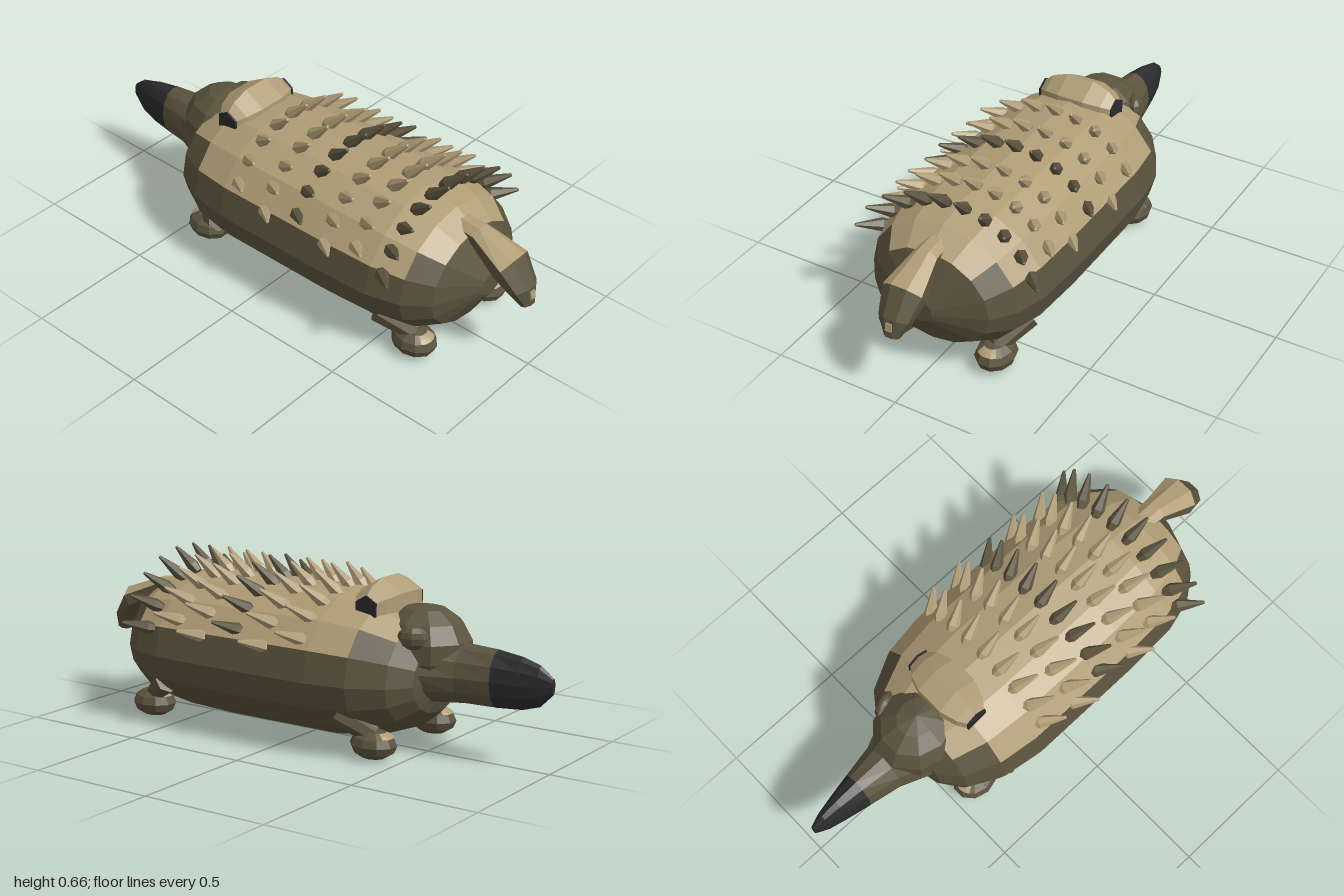
import * as THREE from 'three';

const mat = (name, color) => {
  const m = new THREE.MeshStandardMaterial({ color, flatShading: true });
  m.name = name;
  return m;
};

export function createModel() {
  const model = new THREE.Group();
  const tan = mat('tan', 0xb09d76);
  const olive = mat('olive brown', 0x5b533d);
  const dark = mat('charcoal', 0x2b2b2d);
  const mats = [olive, tan, dark];
  const CX = -0.01;

  const add = (name, geo, material, parent = model) => {
    const mesh = new THREE.Mesh(geo, material);
    mesh.name = name;
    parent.add(mesh);
    return mesh;
  };

  // Skin over closed rings; pick(i, j) gives the colour index of each facet
  const loft = (rings, pick) => {
    const faces = [[], [], []];
    const n = rings[0].length;
    const tri = (k, ...p) => p.forEach((v) => faces[k].push(v.x, v.y, v.z));
    const mid = (r) => r.reduce((s, v) => s.add(v), new THREE.Vector3()).divideScalar(n);
    const last = rings.length - 1;
    const c0 = mid(rings[0]), c1 = mid(rings[last]);
    for (let j = 0; j < n; j++) {
      const k = (j + 1) % n;
      tri(pick(0, j), c0, rings[0][k], rings[0][j]);
      tri(pick(last - 1, j), c1, rings[last][j], rings[last][k]);
      for (let i = 0; i < last; i++) {
        const [a, b, c, d] = [rings[i][j], rings[i][k], rings[i + 1][k], rings[i + 1][j]];
        tri(pick(i, j), a, b, c);
        tri(pick(i, j), a, c, d);
      }
    }
    const geo = new THREE.BufferGeometry();
    let start = 0;
    faces.forEach((f, k) => {
      if (f.length) geo.addGroup(start, f.length / 3, k);
      start += f.length / 3;
    });
    geo.setAttribute('position', new THREE.Float32BufferAttribute(faces.flat(), 3));
    geo.computeVertexNormals();
    return geo;
  };

  // Elliptical ring, tilted about x, with separate upper and lower heights
  const ring = (n, y, z, rx, up, down = up, tilt = 0, shift = 0) =>
    Array.from({ length: n }, (_, j) => {
      const a = ((j + shift) / n) * Math.PI * 2;
      const s = Math.sin(a);
      const h = s * (s > 0 ? up : down);
      return new THREE.Vector3(CX + rx * Math.cos(a), y + h * Math.cos(tilt), z + h * Math.sin(tilt));
    });

  // Barrel body: z and scale per ring, tan over the back
  const stations = [[-0.56, 0.2], [-0.535, 0.5], [-0.47, 0.74], [-0.34, 0.93], [-0.18, 1], [0.06, 1],
    [0.3, 1], [0.52, 0.97], [0.65, 0.87], [0.74, 0.68], [0.82, 0.16]];
  const bodyRings = stations.map(([z, s]) => ring(16, 0.28, z, 0.353 * s, 0.3 * s, 0.255 * s));
  add('body', loft(bodyRings, (i, j) => {
    if (i >= 3 && i <= 7) return j >= 1 && j <= 6 ? 1 : 0;
    if (i === 2 || i === 8) return j >= 2 && j <= 5 ? 1 : 0;
    return 0;
  }), mats);

  // Head dome
  const head = add('head', new THREE.SphereGeometry(1, 10, 7), olive);
  head.scale.set(0.165, 0.16, 0.19);
  head.position.set(CX, 0.39, -0.47);

  // Snout with dark tip
  const snout = [[-1, 0.315, 0.012, 0.03], [-0.95, 0.31, 0.03, 0.075], [-0.88, 0.31, 0.046, 0.096],
    [-0.78, 0.313, 0.068, 0.107], [-0.65, 0.315, 0.096, 0.112], [-0.5, 0.32, 0.165, 0.13]];
  add('snout', loft(snout.map(([z, y, rx, ry]) => ring(12, y, z, rx, ry)), (i) => (i < 3 ? 2 : 0)), mats);

  // Ear on the left side only
  const ear = add('ear', new THREE.SphereGeometry(1, 8, 6), olive);
  ear.scale.set(0.03, 0.045, 0.058);
  ear.position.set(0.13, 0.45, -0.51);
  ear.rotation.y = 0.4;

  // Brow: faceted crosswise barrel with a dark eye at each end
  const browProfile = [[0.045, -0.155], [0.075, -0.12], [0.1, -0.055], [0.1, 0.055], [0.075, 0.12], [0.045, 0.155]]
    .map(([r, y]) => new THREE.Vector2(r, y));
  const brow = new THREE.Group();
  brow.name = 'browGroup';
  add('brow', new THREE.LatheGeometry(browProfile, 6), tan, brow);
  for (const s of [-1, 1]) {
    const eye = add('eye', new THREE.CylinderGeometry(0.05, 0.05, 0.008, 6), dark, brow);
    eye.position.y = s * 0.156;
  }
  brow.rotation.set(0, 0, -Math.PI / 2);
  brow.children.forEach((c) => (c.rotation.y = Math.PI / 2));
  brow.position.set(CX, 0.535, -0.32);
  model.add(brow);

  // Tail bending down, tan along its upper side
  const tail = [[0.475, 0.68, 0.048, 0.045, 0], [0.47, 0.76, 0.052, 0.045, 0.15], [0.41, 0.895, 0.087, 0.06, 0.6],
    [0.34, 0.955, 0.065, 0.042, 1.1], [0.28, 0.98, 0.03, 0.025, 1.2]];
  add('tail', loft(tail.map(([y, z, rx, ry, t]) => ring(8, y, z, rx, ry, ry, t, 0.5)),
    (i, j) => (i < 2 && j <= 2 ? 1 : 0)), mats);
  const patch = add('tailPatch', new THREE.BoxGeometry(0.025, 0.03, 0.008), tan);
  patch.position.set(CX, 0.33, 0.996);
  patch.rotation.x = -0.2;

  // Feet and legs
  for (const s of [-1, 1]) {
    for (const z of [0.645, -0.39]) {
      const leg = new THREE.Group();
      leg.name = z > 0 ? 'hindLeg' : 'foreLeg';
      leg.position.set(CX + s * 0.207, 0, z);
      const foot = add('foot', new THREE.SphereGeometry(1, 10, 6), olive, leg);
      foot.scale.set(0.075, 0.056, 0.092);
      foot.position.y = 0.056;
      for (const start of [0.3, 1.3]) {
        const band = add('footBand', new THREE.SphereGeometry(1.02, 4, 1, start * Math.PI, 0.4 * Math.PI, 0.55, 0.45), tan, leg);
        band.scale.copy(foot.scale);
        band.position.copy(foot.position);
      }
      const ankle = add('ankle', new THREE.SphereGeometry(0.042, 8, 6), olive, leg);
      ankle.position.set(0, 0.1, z > 0 ? -0.02 : 0.02);
      const from = new THREE.Vector3(0, 0.09, 0);
      const to = new THREE.Vector3(s * 0.06, 0.17, z > 0 ? -0.12 : 0.12);
      const dir = to.clone().sub(from);
      const limb = add('limb', new THREE.CylinderGeometry(0.05, 0.036, dir.length(), 7), olive, leg);
      limb.position.copy(from).add(to).multiplyScalar(0.5);
      limb.quaternion.setFromUnitVectors(new THREE.Vector3(0, 1, 0), dir.normalize());
      model.add(leg);
    }
  }

  // Spines: six staggered rows leaning towards the tail
  const profile = [[0, 0], [0.016, 0], [0.026, 0.035], [0.006, 0.136], [0, 0.138]].map(([r, y]) => new THREE.Vector2(r, y));
  const spineGeo = new THREE.LatheGeometry(profile, 6);
  const up = new THREE.Vector3(0, 1, 0);
  [-0.16, -0.01, 0.13, 0.28, 0.41, 0.55].forEach((z, row) => {
    const staggered = row % 2;
    const count = staggered ? 10 : 9;
    const rowGroup = new THREE.Group();
    rowGroup.name = 'spineRow';
    for (let k = 0; k < count; k++) {
      const a = THREE.MathUtils.degToRad((k - (count - 1) / 2) * 16);
      const spine = add('spine', spineGeo, row === 2 || row === 5 ? olive : tan, rowGroup);
      const r = 0.282 + 0.03 * Math.sin(a) ** 2;
      spine.position.set(CX + Math.sin(a) * r, 0.28 + Math.cos(a) * r, z);
      spine.quaternion.setFromUnitVectors(up, new THREE.Vector3(Math.sin(a), Math.cos(a), 1.1).normalize());
    }
    model.add(rowGroup);
  });

  return model;
}
